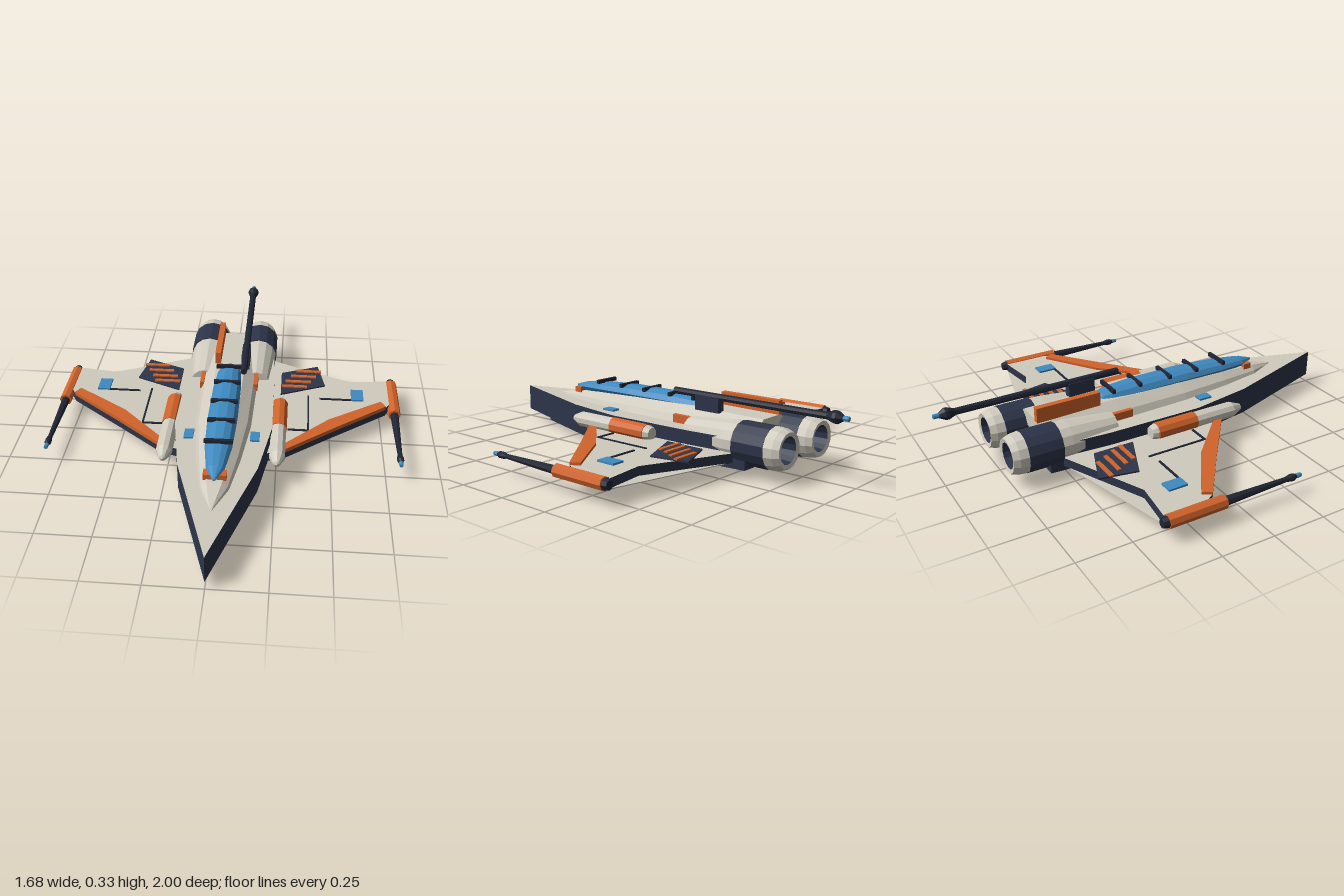
import * as THREE from 'three';

const material = (name, color) => {
  const m = new THREE.MeshStandardMaterial({ color, flatShading: true });
  m.name = name;
  return m;
};

export function createModel() {
  const beige = material('beige', 0xd0cbbe);
  const navy = material('navy', 0x2c3449);
  const dark = material('dark navy', 0x202534);
  const orange = material('orange', 0xd2642b);
  const blue = material('blue', 0x3f8ac0);
  const model = new THREE.Group();
  model.name = 'starfighter';

  const add = (name, geometry, mat, x = 0, y = 0, z = 0) => {
    const mesh = new THREE.Mesh(geometry, mat);
    mesh.name = name;
    mesh.position.set(x, y, z);
    model.add(mesh);
    return mesh;
  };
  const box = (name, mat, w, h, d, x, y, z) =>
    add(name, new THREE.BoxGeometry(w, h, d), mat, x, y, z);

  // Flat slab from an [x, z] outline, between heights y0 and y1
  const slab = (name, points, y0, y1, capMat, sideMat = capMat, s = 1) => {
    const shape = new THREE.Shape(points.map(([x, z]) => new THREE.Vector2(x * s, -z)));
    const g = new THREE.ExtrudeGeometry(shape, { depth: y1 - y0, bevelEnabled: false });
    g.rotateX(-Math.PI / 2);
    return add(name, g, [capMat, sideMat], 0, y0, 0);
  };
  const mirrored = half => [...half, ...half.filter(p => p[0] > 0).reverse().map(([x, z]) => [-x, z])];

  // Turned part along z from [radius, z] pairs, rear to front
  const turned = (name, profile, mat, x, y, sides = 10) => {
    const g = new THREE.LatheGeometry(profile.map(p => new THREE.Vector2(...p)), sides);
    g.rotateX(Math.PI / 2);
    return add(name, g, mat, x, y, 0);
  };

  // Loft of [z, half width, bottom, top] stations, front to rear
  const loft = (name, stations, section, mat) => {
    const n = section.length, pos = [], idx = [];
    for (const [z, w, y0, y1] of stations)
      for (const [fx, fy] of section) pos.push(fx * w, y0 + fy * (y1 - y0), z);
    for (let i = 0; i < stations.length - 1; i++)
      for (let j = 0; j < n; j++) {
        const a = i * n + j, b = i * n + (j + 1) % n;
        idx.push(a, a + n, b, b, a + n, b + n);
      }
    const last = (stations.length - 1) * n;
    for (let j = 1; j < n - 1; j++) idx.push(0, j, j + 1, last, last + j + 1, last + j);
    const g = new THREE.BufferGeometry();
    g.setAttribute('position', new THREE.Float32BufferAttribute(pos, 3));
    g.setIndex(idx);
    const flat = g.toNonIndexed();
    flat.computeVertexNormals();
    return add(name, flat, mat);
  };

  // Hull and keel
  slab('hull', mirrored([[0, 1], [0.175, 0.45], [0.225, 0.15], [0.22, -0.3], [0.2, -0.59]]),
    0.04, 0.17, beige, navy);
  slab('keel', mirrored([[0, 0.84], [0.13, 0.42], [0.155, 0.08]]), 0, 0.04, navy);

  // Raised fuselage and canopy
  loft('fuselage', [
    [0.735, 0.004, 0.165, 0.172], [0.6, 0.065, 0.165, 0.202], [0.4, 0.1, 0.165, 0.22],
    [0.15, 0.13, 0.165, 0.232], [-0.2, 0.14, 0.165, 0.24], [-0.59, 0.13, 0.165, 0.236],
  ], [[1, 0], [0.86, 0.5], [0.5, 1], [-0.5, 1], [-0.86, 0.5], [-1, 0]], beige);
  loft('canopy', [
    [0.61, 0.006, 0.222, 0.23], [0.54, 0.04, 0.212, 0.25], [0.4, 0.06, 0.21, 0.266],
    [0.2, 0.068, 0.21, 0.276], [-0.05, 0.066, 0.21, 0.276], [-0.2, 0.058, 0.21, 0.268],
    [-0.245, 0.045, 0.215, 0.258], [-0.265, 0.02, 0.225, 0.248],
  ], [[0.7, 0], [1, 0.45], [0.75, 0.8], [0.3, 1], [-0.3, 1], [-0.75, 0.8], [-1, 0.45], [-0.7, 0]], blue);
  for (const z of [0.405, 0.25, 0.1, -0.06, -0.2])
    box('canopyRib', dark, 0.125, 0.018, 0.015, 0, 0.272, z);
  box('canopyFrontBlock', orange, 0.1, 0.028, 0.04, 0, 0.213, 0.56);

  // Dorsal fin, gun mount and rear-pointing gun
  box('dorsalFin', orange, 0.028, 0.07, 0.31, -0.063, 0.263, -0.435);
  box('dorsalMount', navy, 0.04, 0.07, 0.13, 0.075, 0.268, -0.305);
  turned('dorsalGun', [[0, -0.97], [0.013, -0.97], [0.028, -0.945], [0.028, -0.93], [0.016, -0.9],
    [0.016, -0.11], [0, -0.11]], dark, 0.075, 0.302, 8);
  turned('dorsalGunTip', [[0, -1], [0.011, -0.995], [0.011, -0.965]], blue, 0.075, 0.302, 8);

  const wingTop = 0.108;
  for (const s of [1, -1]) {
    // Wing, with a thin trailing web below
    slab('wing', [[0.18, 0.27], [0.28, 0.24], [0.52, 0.05], [0.766, -0.14], [0.79, -0.18], [0.79, -0.385],
      [0.6, -0.36], [0.22, -0.53], [0.18, -0.53]], 0.065, wingTop, beige, navy, s);
    slab('wingTrailingWeb', [[0.2, -0.53], [0.79, -0.385], [0.6, -0.355]], 0.064, 0.068, beige, beige, s);
    slab('leadingEdgeStrip', [[0.27, 0.21], [0.27, 0.255], [0.52, 0.053], [0.768, -0.14], [0.745, -0.18],
      [0.49, -0.01]], 0.1, 0.12, orange, orange, s);

    // Wing surface details
    slab('wingPanel', [[0.255, -0.41], [0.255, -0.215], [0.475, -0.31], [0.44, -0.485]],
      wingTop - 0.001, wingTop + 0.007, navy, navy, s);
    [[0.393, -0.43], [0.367, -0.38], [0.34, -0.33], [0.322, -0.285]].forEach(([x, z]) =>
      box('panelStripe', orange, 0.128, 0.008, 0.018, s * x, wingTop + 0.009, z));
    box('wingHatch', blue, 0.06, 0.009, 0.09, s * 0.633, wingTop + 0.004, -0.235);
    box('hullHatch', blue, 0.043, 0.009, 0.065, s * 0.15, 0.174, 0.23);
    box('panelLine', dark, 0.155, 0.006, 0.01, s * 0.525, wingTop + 0.002, -0.195);
    box('panelLine', dark, 0.008, 0.006, 0.29, s * 0.392, wingTop + 0.002, -0.07);
    box('panelLine', dark, 0.1, 0.006, 0.01, s * 0.345, wingTop + 0.002, 0.075);
    box('shoulderBlock', orange, 0.02, 0.04, 0.1, s * 0.131, 0.187, -0.2);

    // Engine with hollow nozzle
    const ex = s * 0.128, ey = 0.142;
    turned('engineBody', [[0.09, -0.54], [0.09, -0.48], [0.07, -0.25], [0, -0.25]], beige, ex, ey, 14);
    turned('engineBand', [[0.08, -0.69], [0.095, -0.69], [0.095, -0.53], [0.085, -0.53]], navy, ex, ey, 14);
    turned('engineNozzle', [[0.06, -0.755], [0.079, -0.76], [0.09, -0.73], [0.094, -0.69]], beige, ex, ey, 14);
    turned('engineInside', [[0, -0.66], [0.05, -0.66], [0.06, -0.755]], navy, ex, ey, 14);

    // Side pod
    const px = s * 0.254, py = 0.132;
    turned('podRear', [[0, -0.125], [0.028, -0.125], [0.037, -0.1], [0.037, -0.09]], beige, px, py);
    turned('podBand', [[0.036, -0.095], [0.04, -0.095], [0.04, 0.11], [0.036, 0.11]], orange, px, py);
    turned('podFront', [[0.037, 0.11], [0.037, 0.315], [0.016, 0.365], [0, 0.375]], beige, px, py);

    // Wingtip gun
    const gx = s * 0.81, gy = 0.09;
    turned('wingtipCap', [[0, -0.405], [0.02, -0.405], [0.027, -0.375]], dark, gx, gy, 8);
    turned('wingtipPod', [[0.02, -0.38], [0.03, -0.38], [0.03, -0.11], [0, -0.11]], orange, gx, gy, 8);
    turned('wingtipBarrel', [[0.02, -0.11], [0.011, 0.2], [0.016, 0.225], [0.016, 0.24], [0.009, 0.255],
      [0, 0.255]], dark, gx, gy, 8);
    turned('wingtipMuzzle', [[0.008, 0.25], [0.011, 0.26], [0.009, 0.28], [0, 0.28]], blue, gx, gy, 8);
  }
  return model;
}
